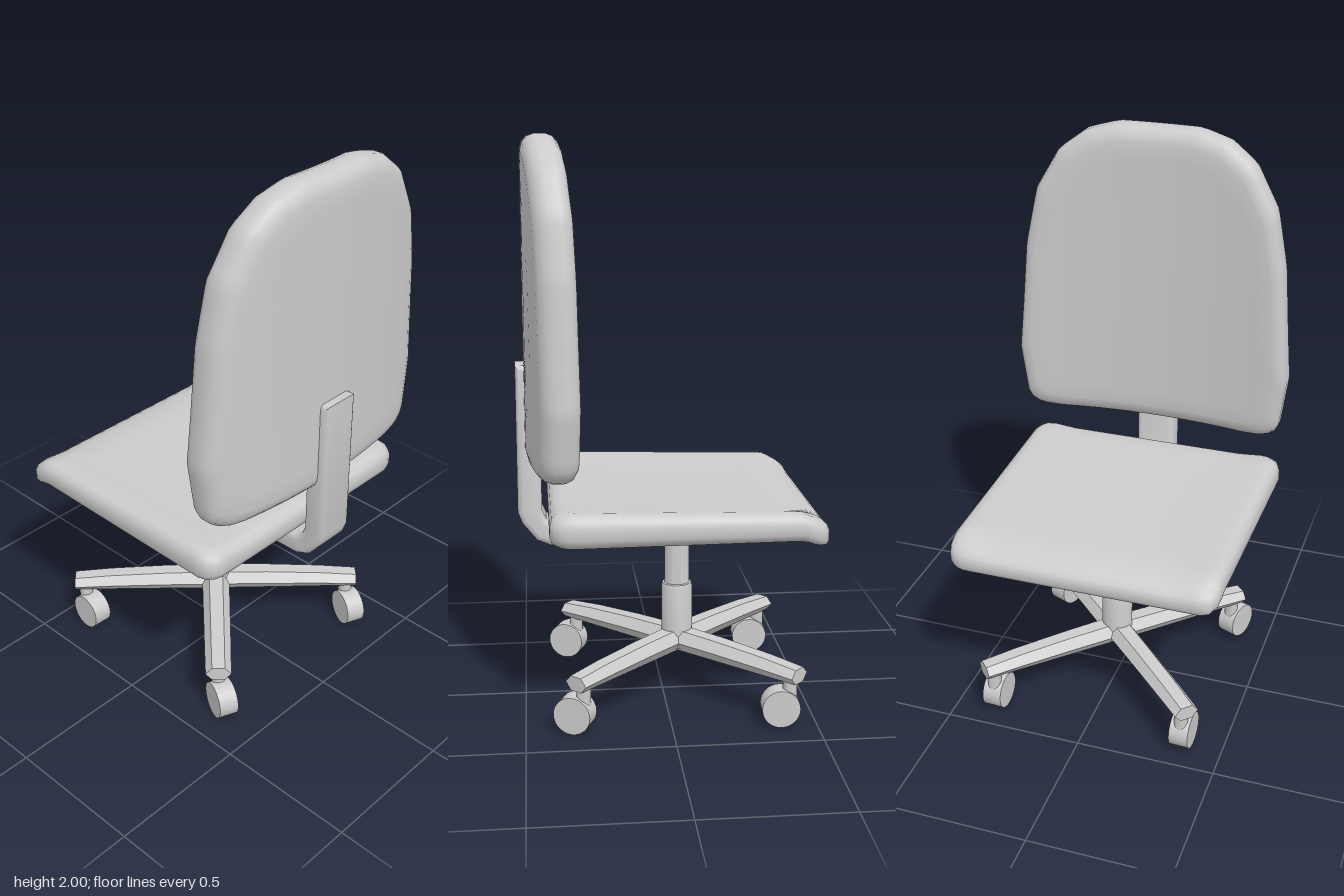
import * as THREE from 'three';
import { toCreasedNormals } from 'three/addons/utils/BufferGeometryUtils.js';

const HUB_X = -0.052;
const material = new THREE.MeshStandardMaterial({ color: 0xcccccc });

function add(parent, name, geometry, x = 0, y = 0, z = 0) {
  const mesh = new THREE.Mesh(geometry, material);
  mesh.name = name;
  mesh.position.set(x, y, z);
  parent.add(mesh);
  return mesh;
}

// Join closed rings of [x, y, z] points into a skin
function stitch(rings, crease) {
  const n = rings[0].length, index = [];
  for (let i = 0; i < rings.length - 1; i++) {
    for (let j = 0; j < n; j++) {
      const a = i * n + j, b = i * n + (j + 1) % n;
      index.push(a, b, a + n, b, b + n, a + n);
    }
  }
  const geo = new THREE.BufferGeometry();
  geo.setAttribute('position', new THREE.Float32BufferAttribute(rings.flat(2), 3));
  geo.setIndex(index);
  return toCreasedNormals(geo, crease);
}

// Cushion with rounded rim: outline scaled through the thickness, then placed by a rule
function cushion(outline, samples, rule) {
  const half = [[0, 1], [0.3, 1], [0.6, 1], [0.8, 1], [0.9, 1], [0.95, 0.9], [0.985, 0.65], [1, 0.3]];
  const layers = [...half.map(([s, t]) => [s, -t]), ...half.reverse()];
  const shape = new THREE.Shape(outline.map(([a, b]) => new THREE.Vector2(a, b)));
  shape.closePath();
  const points = shape.getSpacedPoints(samples).slice(0, samples);
  return stitch(layers.map(([s, t]) => points.map(p => rule(p.x * s, p.y * s, t))), 0.9);
}

function makeSeat() {
  const w = 0.49, d = 0.465, c = 0.05;
  const outline = [
    [w - c, -d], [w - 0.015, -d + 0.015], [w, -d + c], [w, d - c], [w - 0.015, d - 0.015], [w - c, d],
    [c - w, d], [0.015 - w, d - 0.015], [-w, d - c], [-w, c - d], [0.015 - w, 0.015 - d], [c - w, -d]
  ];
  return cushion(outline, 120, (a, b, t) => {
    const lip = THREE.MathUtils.smoothstep(-b, 0.365, 0.46) * 0.03;
    const dish = Math.max(0, Math.abs(a) - 0.33) * 0.1 * (t > 0 ? t : 0);
    const taper = 1 + 0.025 * (b - d);
    return [b - 0.055, 0.725 + b * 0.008 + t * (0.049 + b * 0.014) + dish - lip, a * taper + 0.014];
  });
}

function makeBackrest() {
  const mid = 1.44;
  const side = [ // height, half width
    [0.885, 0.36], [0.892, 0.43], [0.908, 0.47], [0.94, 0.49], [1.13, 0.515], [1.3, 0.5],
    [1.55, 0.48], [1.75, 0.44], [1.9, 0.355], [1.97, 0.26], [2, 0.15]
  ];
  const outline = [
    ...side.map(([y, z]) => [y - mid, -z]),
    ...side.slice().reverse().map(([y, z]) => [y - mid, z])
  ];
  return cushion(outline, 120, (a, b, t) => [0.421 - 0.24 * b * b + t * 0.065, a + mid, b]);
}

// Bent flat bar carrying the backrest
function makeBar() {
  const path = [
    [-0.09, 0.568], [0.4, 0.577], [0.45, 0.598], [0.5, 0.66], [0.515, 0.7], [0.515, 1.22],
    [0.43, 1.22], [0.43, 0.705], [0.415, 0.67], [0.385, 0.655], [-0.09, 0.655]
  ];
  const bevel = 0.02, width = 0.145;
  const geo = new THREE.ExtrudeGeometry(new THREE.Shape(path.map(p => new THREE.Vector2(...p))), {
    depth: width - 2 * bevel, bevelThickness: bevel, bevelSize: bevel, bevelOffset: -bevel, bevelSegments: 4
  });
  geo.translate(0, 0, bevel - width / 2 - 0.007);
  return toCreasedNormals(geo, 0.7);
}

// Tapered six-sided leg running along +x
function makeLeg() {
  const ring = (x, top, w, s = 1) => {
    const lo = 0.158, m = (lo + top) / 2, h = (top - lo) / 2;
    return [[-1, -0.5], [0, -1], [1, -0.5], [1, 0.5], [0, 1], [-1, 0.5]]
      .map(([y, z]) => [x, m + y * h * s, z * w * s]);
  };
  return stitch([
    ring(0, 0.235, 0.052, 0), ring(0, 0.235, 0.052), ring(0.2, 0.231, 0.05),
    ring(0.4, 0.222, 0.048), ring(0.54, 0.21, 0.046), ring(0.54, 0.21, 0.046, 0)
  ], 0.5);
}

function makeCaster(dx, dz, heading) {
  const caster = new THREE.Group();
  caster.name = 'caster';
  add(caster, 'casterStem', toCreasedNormals(new THREE.CylinderGeometry(0.025, 0.025, 0.1, 16), 0.7), 0, 0.125, 0);
  const wheel = new THREE.CylinderGeometry(0.066, 0.066, 0.07, 28).rotateX(Math.PI / 2);
  add(caster, 'casterWheel', toCreasedNormals(wheel, 0.7), 0.032, 0.066, 0);
  caster.position.set(HUB_X + dx, 0, dz);
  caster.rotation.y = heading;
  return caster;
}

export function createModel() {
  const chair = new THREE.Group();
  chair.name = 'swivelChair';
  add(chair, 'seat', makeSeat());
  add(chair, 'backrest', makeBackrest());
  add(chair, 'backrestBar', makeBar());

  // Column: outer sleeve, rounded collar and inner piston
  const sleeve = [[0, 0.17], [0.056, 0.17], [0.056, 0.395], [0.052, 0.408], [0.045, 0.41], [0.045, 0.68], [0, 0.68]]
    .map(p => new THREE.Vector2(...p));
  add(chair, 'column', toCreasedNormals(new THREE.LatheGeometry(sleeve, 32), 0.6), HUB_X);

  // Four crossed legs with casters
  const base = new THREE.Group();
  base.name = 'base';
  chair.add(base);
  for (const sx of [-1, 1]) {
    for (const sz of [-1, 1]) {
      add(base, 'leg', makeLeg(), HUB_X).rotation.y = Math.atan2(-sz, sx);
      base.add(makeCaster(sx * 0.355, sz * 0.355, sx > 0 ? -0.39 : -0.05));
    }
  }
  return chair;
}
